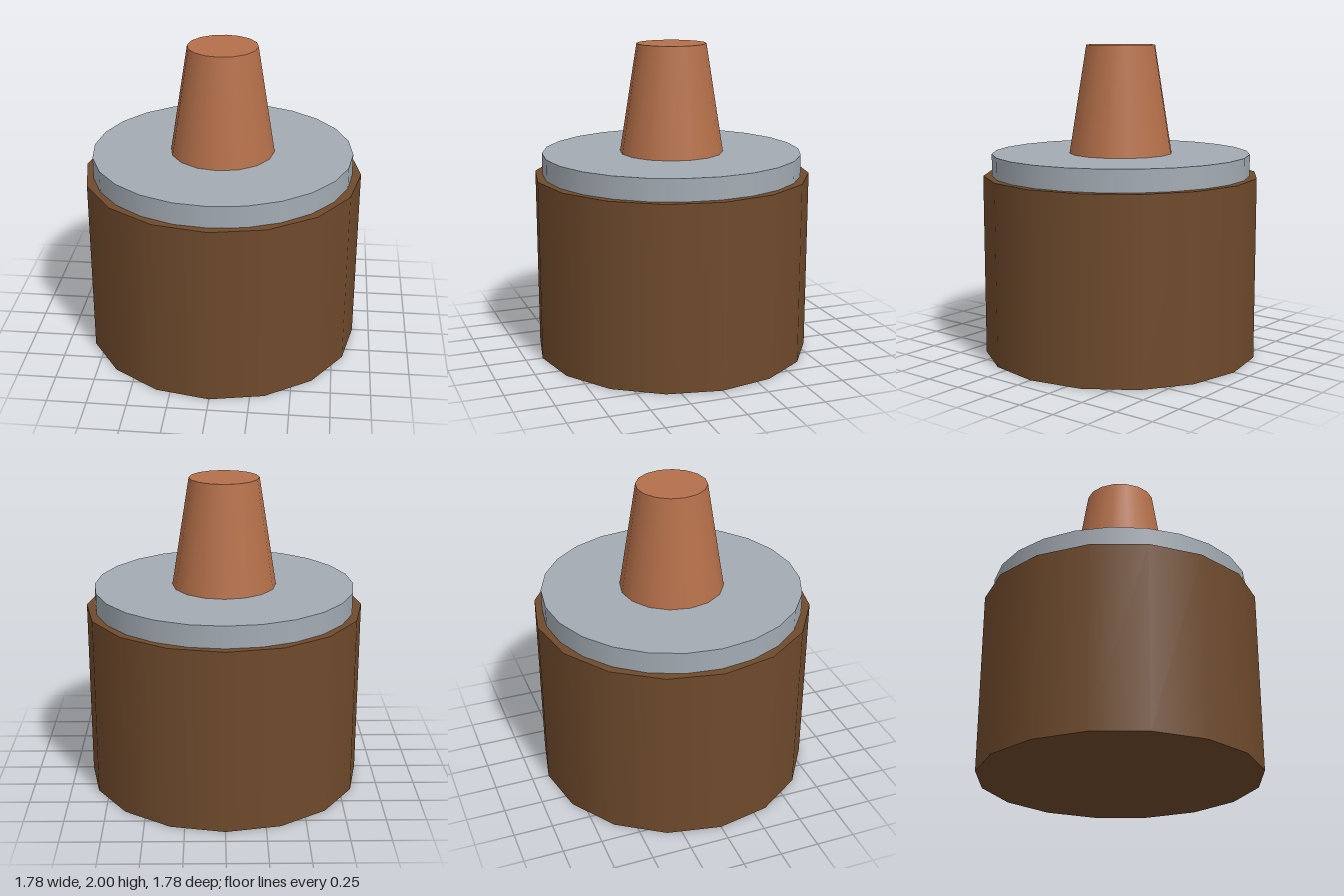
import * as THREE from 'three';

const material = (name, color) => {
  const m = new THREE.MeshStandardMaterial({ color });
  m.name = name;
  return m;
};

export function createModel() {
  const model = new THREE.Group();
  model.name = 'model';

  // Adds an upright round part standing between two heights
  const addRound = (name, mat, rTop, rBottom, y0, y1, sides) => {
    const geometry = new THREE.CylinderGeometry(rTop, rBottom, y1 - y0, sides);
    const mesh = new THREE.Mesh(geometry, mat);
    mesh.name = name;
    mesh.position.y = (y0 + y1) / 2;
    model.add(mesh);
  };

  // Wide drum, thin collar disc and tapered spout
  addRound('body', material('brown', 0x6f4a2c), 0.889, 0.889, 0, 1.167, 16);
  addRound('collar', material('grey', 0xa3abb3), 0.833, 0.833, 1.167, 1.306, 24);
  addRound('spout', material('copper', 0xb5704a), 0.222, 0.333, 1.306, 2, 16);

  return model;
}
